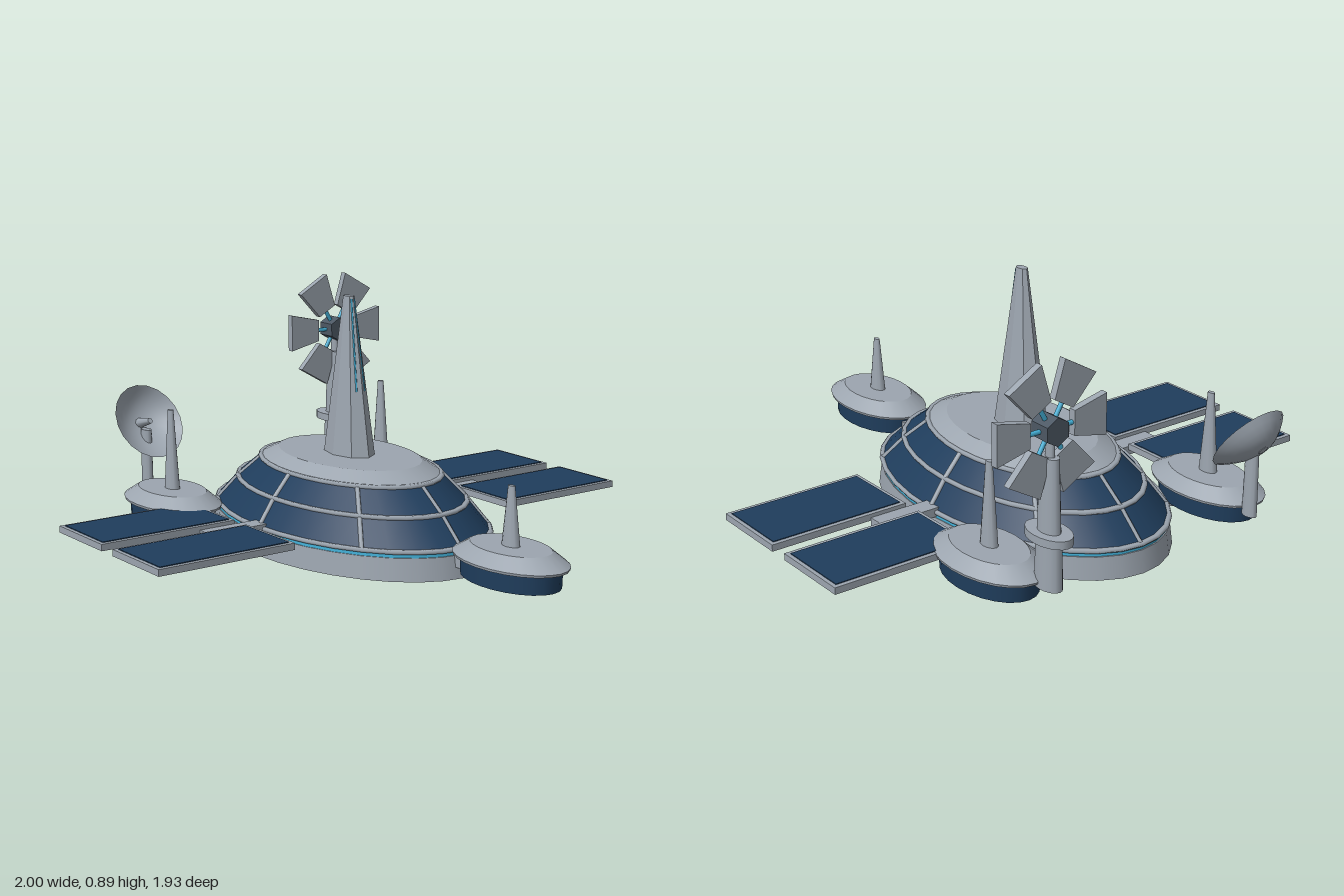
import * as THREE from 'three';

const mat = (name, color) => new THREE.MeshStandardMaterial({ name, color, side: THREE.DoubleSide });

export function createModel() {
  const hull = mat('hull grey', 0x9ca5af);
  const navy = mat('navy glass', 0x1f3d5c);
  const cyan = mat('cyan light', 0x45b4dc);
  const dark = mat('dark grey', 0x4d5864);
  const STRETCH = 1.62; // round parts are elongated front to back

  const root = new THREE.Group();
  root.name = 'station';

  const add = (parent, name, geo, material, x = 0, y = 0, z = 0) => {
    const m = new THREE.Mesh(geo, material);
    m.name = name;
    m.position.set(x, y, z);
    parent.add(m);
    return m;
  };
  const oval = (name, x, z) => {
    const g = new THREE.Group();
    g.name = name;
    g.position.set(x, 0, z);
    g.scale.z = STRETCH;
    root.add(g);
    return g;
  };
  const cone = (parent, name, rBottom, rTop, y0, y1, material, sides = 32, open = false) =>
    add(parent, name, new THREE.CylinderGeometry(rTop, rBottom, y1 - y0, sides, 1, open), material, 0, (y0 + y1) / 2, 0);
  const rod = (parent, name, a, b, r, material) => {
    const d = b.clone().sub(a);
    const m = add(parent, name, new THREE.CylinderGeometry(r, r, d.length(), 6), material);
    m.position.copy(a).add(b).multiplyScalar(0.5);
    m.quaternion.setFromUnitVectors(new THREE.Vector3(0, 1, 0), d.normalize());
    return m;
  };

  // Main dome: base, light band, two window tiers, roof
  const dome = oval('dome', 0, -0.172);
  cone(dome, 'base', 0.408, 0.4, 0, 0.08, hull);
  cone(dome, 'lightBand', 0.397, 0.397, 0.08, 0.097, cyan);
  const tiers = [[0.397, 0.1], [0.332, 0.195], [0.262, 0.277]];
  cone(dome, 'lowerWindows', tiers[0][0], tiers[1][0], tiers[0][1], tiers[1][1], navy);
  cone(dome, 'upperWindows', tiers[1][0], tiers[2][0], tiers[1][1], tiers[2][1], navy);
  cone(dome, 'roof', 0.262, 0.208, 0.28, 0.318, hull);
  for (const [r, y] of tiers) {
    add(dome, 'windowRing', new THREE.TorusGeometry(r, 0.0085, 6, 32), hull, 0, y, 0).rotation.x = Math.PI / 2;
  }
  for (let i = 0; i < 8; i++) {
    const a = i * Math.PI / 4;
    const p = tiers.map(([r, y]) => new THREE.Vector3(r * Math.sin(a), y, r * Math.cos(a)));
    rod(dome, 'windowRib', p[0], p[1], 0.007, hull);
    rod(dome, 'windowRib', p[1], p[2], 0.007, hull);
  }

  // Central spire with light strips on its front faces
  const spire = cone(dome, 'spire', 0.074, 0.016, 0.315, 0.89, hull, 8);
  spire.geometry = spire.geometry.toNonIndexed();
  spire.geometry.computeVertexNormals();
  for (const s of [-1, 1]) {
    const at = (r, y) => new THREE.Vector3(s * r * 0.354, y, r * 0.854);
    rod(dome, 'spireLight', at(0.05, 0.553), at(0.017, 0.88), 0.0028, cyan);
  }

  // Three pods, each with a spike and a strut back to the dome
  const pods = [[0, 0.725, 0, 0.44, 0.37], [0.48, -0.62, 0.26, -0.45, 0.46], [-0.48, -0.62, -0.26, -0.45, 0.46]];
  for (const [x, z, fromX, fromZ, spikeTop] of pods) {
    const pod = oval('pod', x, z);
    cone(pod, 'podBody', 0.129, 0.131, 0.052, 0.125, navy, 24);
    cone(pod, 'podRim', 0.148, 0.15, 0.118, 0.127, hull, 24);
    cone(pod, 'podCap', 0.15, 0.105, 0.127, 0.168, hull, 24);
    cone(pod, 'podSpike', 0.024, 0.009, 0.165, spikeTop, hull, 12);
    const len = Math.hypot(x - fromX, z - fromZ);
    const strut = add(root, 'podStrut', new THREE.BoxGeometry(0.06, 0.015, len), hull, (x + fromX) / 2, 0.048, (z + fromZ) / 2);
    strut.rotation.y = Math.atan2(x - fromX, z - fromZ);
  }
  add(root, 'frontConnector', new THREE.BoxGeometry(0.06, 0.055, 0.1), hull, 0, 0.073, 0.485);

  // Solar wings
  for (const s of [-1, 1]) {
    add(root, 'wingArm', new THREE.BoxGeometry(0.27, 0.033, 0.07), hull, s * 0.48, 0.1, -0.175);
    for (const z of [-0.363, 0.012]) {
      add(root, 'panelFrame', new THREE.BoxGeometry(0.53, 0.024, 0.3), hull, s * 0.735, 0.117, z);
      add(root, 'panelCells', new THREE.BoxGeometry(0.502, 0.004, 0.268), navy, s * 0.735, 0.13, z);
    }
  }

  // Dish antenna on its post
  const dishMount = oval('dishAntenna', -0.44, -0.845);
  const post = cone(dishMount, 'dishPost', 0.019, 0.017, 0.1, 0.34, hull, 12);
  post.position.z = -0.015;
  const dish = new THREE.Group();
  dish.name = 'dish';
  dish.position.set(0, 0.375, 0);
  dish.rotation.x = 1.155;
  dishMount.add(dish);
  const bowl = [];
  for (let i = 0; i <= 6; i++) {
    const t = i / 6;
    bowl.push(new THREE.Vector2(0.135 * t, 0.05 * (t * t - 1)));
  }
  add(dish, 'dishBowl', new THREE.LatheGeometry(bowl, 20), hull);
  cone(dish, 'dishFeed', 0.018, 0.01, -0.05, 0.005, hull, 8);

  // Windmill mast
  const mill = oval('windmill', 0.435, -0.868);
  cone(mill, 'mastBase', 0.036, 0.033, 0.105, 0.275, hull, 16);
  cone(mill, 'mastCollar', 0.06, 0.06, 0.272, 0.3, hull, 20);
  cone(mill, 'mast', 0.03, 0.024, 0.3, 0.55, hull, 16);
  cone(mill, 'mastNeck', 0.012, 0.012, 0.55, 0.62, hull, 10);

  // Windmill rotor: hexagonal hub, spokes and six blades
  const rotor = new THREE.Group();
  rotor.name = 'rotor';
  rotor.position.set(0.435, 0.641, -0.868);
  root.add(rotor);
  const hub = add(rotor, 'hub', new THREE.CylinderGeometry(0.048, 0.048, 0.078, 6).toNonIndexed(), dark);
  hub.geometry.computeVertexNormals();
  hub.rotation.x = Math.PI / 2;
  const bladeShape = new THREE.Shape([[0.086, -0.042], [0.214, -0.071], [0.214, 0.071], [0.086, 0.042]].map(p => new THREE.Vector2(...p)));
  const bladeGeo = new THREE.ExtrudeGeometry(bladeShape, { depth: 0.026, bevelEnabled: false }).translate(0, 0, -0.013);
  for (let i = 0; i < 6; i++) {
    const arm = new THREE.Group();
    arm.name = 'rotorArm';
    arm.rotation.z = i * Math.PI / 3;
    rotor.add(arm);
    rod(arm, 'spoke', new THREE.Vector3(0.03, 0, 0), new THREE.Vector3(0.1, 0, 0), 0.008, cyan);
    add(arm, 'blade', bladeGeo, hull);
  }
  return root;
}
